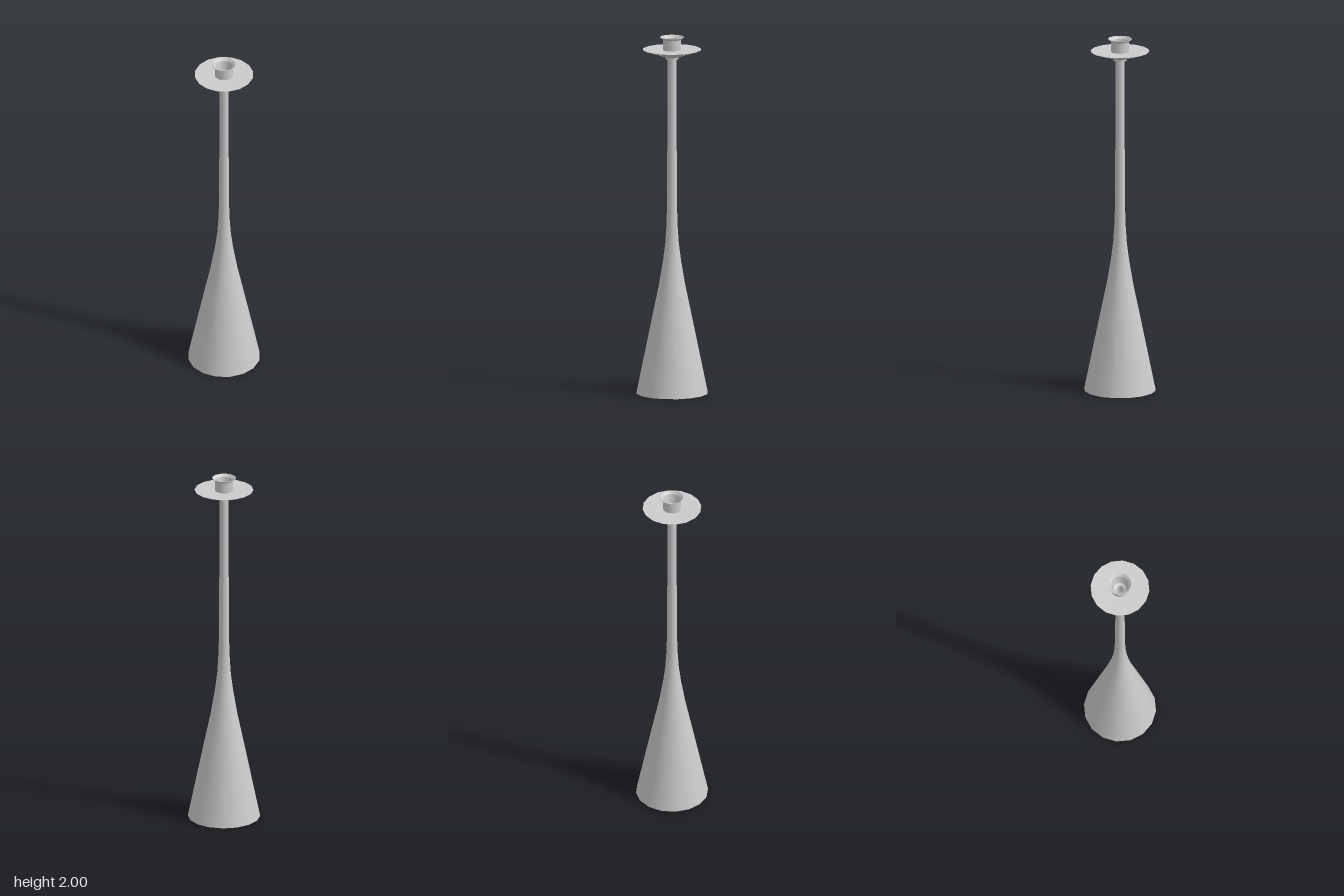
import * as THREE from 'three';

const SIDES = 16;

export function createModel() {
  const group = new THREE.Group();
  group.name = 'candlestick';
  const material = new THREE.MeshStandardMaterial({ color: 0xcccccc });

  // A turned part: each run of [radius, y] points is smooth, with a crisp edge between runs.
  function turned(name, runs) {
    const part = new THREE.Group();
    part.name = name;
    runs.forEach((run, i) => {
      const points = run.map(([r, y]) => new THREE.Vector2(r, y));
      const mesh = new THREE.Mesh(new THREE.LatheGeometry(points, SIDES), material);
      mesh.name = `${name}Surface${i + 1}`;
      part.add(mesh);
    });
    group.add(part);
  }

  // Flat underside with a central hole, then the flared foot drawn up into a slim stem
  turned('stem', [
    [[0.042, 0], [0.2, 0]],
    [[0.2, 0], [0.113, 0.42], [0.075, 0.6], [0.051, 0.74], [0.038, 0.84], [0.032, 0.93],
      [0.029, 1.02], [0.027, 1.3], [0.025, 1.6], [0.024, 1.88]],
  ]);

  // Small collar under the drip pan
  turned('collar', [
    [[0.024, 1.876], [0.036, 1.876]],
    [[0.036, 1.876], [0.036, 1.886]],
  ]);

  // Wide drip pan: conical below, almost flat on top
  turned('dripPan', [
    [[0.036, 1.886], [0.163, 1.93]],
    [[0.163, 1.93], [0.05, 1.927]],
  ]);

  // Candle cup with a flared lip and a tapering socket
  turned('candleCup', [
    [[0.051, 1.927], [0.051, 1.986]],
    [[0.051, 1.986], [0.066, 1.997]],
    [[0.066, 1.997], [0.066, 2]],
    [[0.066, 2], [0.062, 2]],
    [[0.062, 2], [0.049, 1.986]],
    [[0.049, 1.986], [0.035, 1.92]],
    [[0.035, 1.92], [0.02, 1.91]],
  ]);

  // Bore running down through the whole stem
  turned('bore', [[[0.02, 1.91], [0.02, 0.9], [0.042, 0]]]);

  return group;
}
